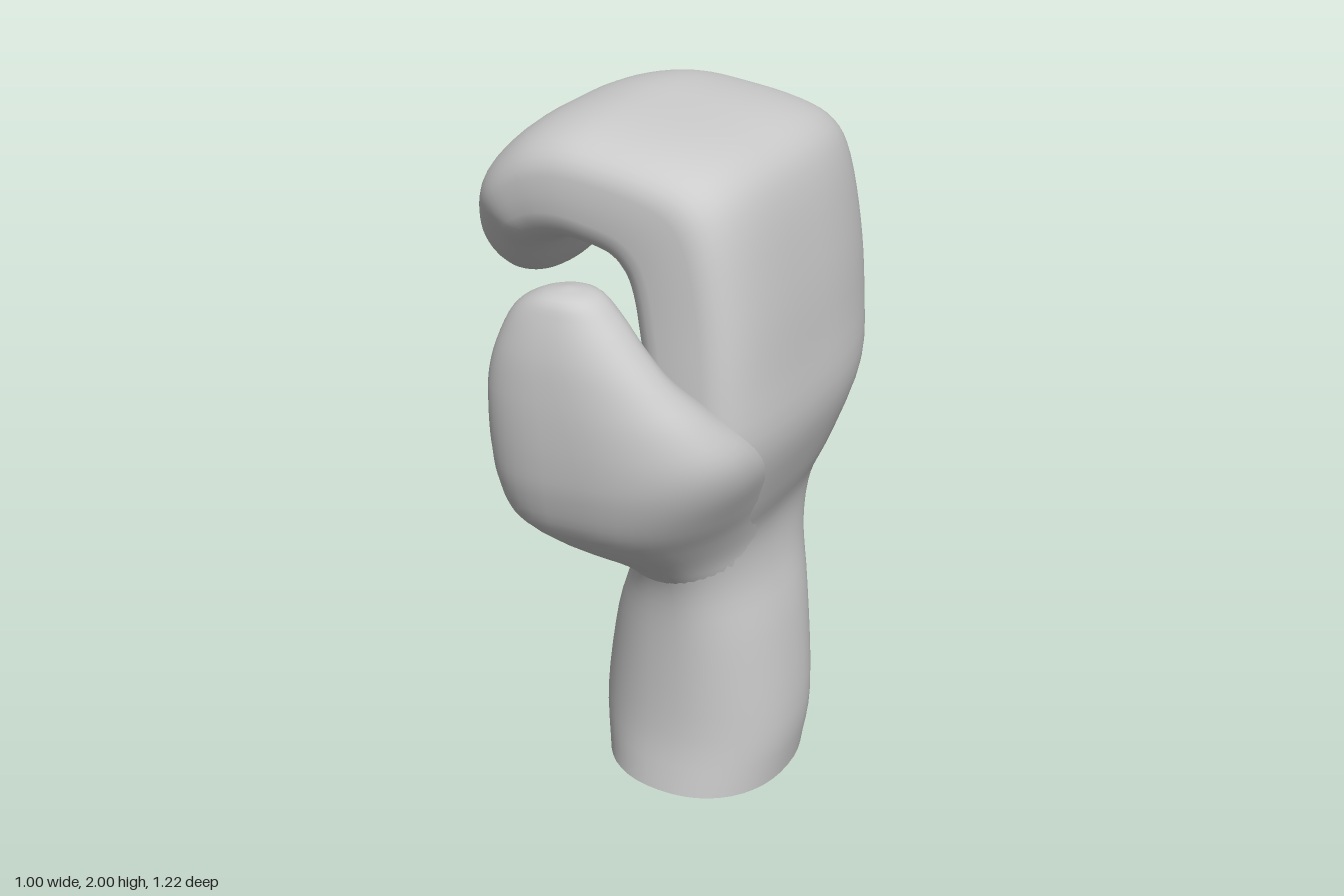
import * as THREE from 'three';
import { mergeVertices } from 'three/addons/utils/BufferGeometryUtils.js';

const material = new THREE.MeshStandardMaterial({ color: 0xcccccc });

// Smooth skin through rounded sections. Each row is
// [outer x, outer y, inner x, inner y, z min, z max, squareness].
// limits caps the squareness of the corners:
// [outer front, outer back, inner front, inner back].
function loft(name, rows, limits, steps = 4, sides = 48) {
  const spline = (f) => new THREE.CatmullRomCurve3(rows.map(f), false, 'catmullrom', 0.5);
  const outer = spline((r) => new THREE.Vector3(r[0], r[1], r[5]));
  const inner = spline((r) => new THREE.Vector3(r[2], r[3], r[4]));
  const count = (rows.length - 1) * steps;
  const position = [], index = [];
  for (let i = 0; i <= count; i++) {
    const t = i / count, k = Math.min(Math.floor(i / steps), rows.length - 2);
    const square = THREE.MathUtils.lerp(rows[k][6], rows[k + 1][6], i / steps - k);
    const a = outer.getPoint(t), b = inner.getPoint(t);
    const mid = a.clone().add(b).multiplyScalar(0.5), half = a.clone().sub(b).multiplyScalar(0.5);
    for (let j = 0; j < sides; j++) {
      const angle = (j / sides) * Math.PI * 2;
      const c = Math.cos(angle), s = Math.sin(angle);
      const n = Math.min(square, limits[(c < 0 ? 2 : 0) + (s < 0 ? 1 : 0)]);
      const u = Math.sign(c) * Math.abs(c) ** (2 / n), v = Math.sign(s) * Math.abs(s) ** (2 / n);
      position.push(mid.x + half.x * u, mid.y + half.y * u, mid.z + half.z * v);
      if (i < count) {
        const p = i * sides + j, q = i * sides + (j + 1) % sides;
        index.push(p, p + sides, q, q, p + sides, q + sides);
      }
    }
  }
  let geometry = new THREE.BufferGeometry();
  geometry.setAttribute('position', new THREE.Float32BufferAttribute(position, 3));
  geometry.setIndex(index);
  geometry = mergeVertices(geometry, 1e-5);
  geometry.computeVertexNormals();
  const mesh = new THREE.Mesh(geometry, material);
  mesh.name = name;
  return mesh;
}

export function createModel() {
  const model = new THREE.Group();
  model.name = 'mittenHand';
  const wrist = [0.445, 0, -0.11, 0, -0.36, 0.24, 2.2];
  const palmLimits = [4, 2.2, 4, 4];

  // Wrist, palm and the joined fingers curling over to their tip
  model.add(loft('palmAndFingers', [
    wrist,
    [0.465, 0.2, -0.13, 0.2, -0.37, 0.22, 2.2],
    [0.43, 0.5, -0.08, 0.5, -0.4, 0.235, 2.3],
    [0.385, 0.7, -0.01, 0.7, -0.44, 0.265, 2.4],
    [0.385, 0.85, 0.01, 0.85, -0.5, 0.33, 2.5],
    [0.44, 1.0, 0.06, 0.98, -0.54, 0.355, 2.8],
    [0.495, 1.2, 0.11, 1.18, -0.585, 0.37, 3.2],
    [0.48, 1.4, 0.12, 1.35, -0.605, 0.365, 3.6],
    [0.455, 1.6, 0.1, 1.5, -0.61, 0.355, 3.8],
    [0.41, 1.81, 0.08, 1.58, -0.605, 0.35, 3.8],
    [0.35, 1.91, 0.055, 1.625, -0.603, 0.348, 3.8],
    [0.24, 1.96, 0.02, 1.65, -0.595, 0.346, 3.6],
    [0.06, 1.99, -0.03, 1.66, -0.585, 0.343, 3.5],
    [-0.1, 2.0, -0.09, 1.66, -0.575, 0.338, 3.3],
    [-0.25, 1.96, -0.15, 1.64, -0.555, 0.325, 3],
    [-0.38, 1.86, -0.2, 1.61, -0.515, 0.3, 2.7],
    [-0.46, 1.75, -0.23, 1.57, -0.46, 0.24, 2.5],
    [-0.5, 1.62, -0.27, 1.51, -0.38, 0.16, 2.3],
    [-0.475, 1.515, -0.32, 1.46, -0.29, 0.06, 2.2],
    [-0.4, 1.45, -0.4, 1.45, -0.11, -0.11, 2],
  ], palmLimits));

  // Flat end of the wrist
  model.add(loft('wristEnd', [[0.17, 0, 0.17, 0, -0.06, -0.06, 2.2], wrist], palmLimits, 1));

  // Thumb and heel of the palm, clear of the fingers at its tip
  model.add(loft('thumb', [
    [0.33, 0.6, 0.07, 0.6, -0.3, 0.18, 2],
    [0.37, 0.72, 0.01, 0.72, -0.36, 0.26, 2.2],
    [0.375, 0.82, -0.02, 0.8, -0.36, 0.345, 2.4],
    [0.4, 0.93, -0.15, 0.89, -0.3, 0.47, 2.8],
    [0.435, 1.03, -0.205, 0.98, -0.19, 0.55, 3.4],
    [0.475, 1.15, -0.215, 1.09, -0.03, 0.59, 3.4],
    [0.47, 1.25, -0.21, 1.19, 0.12, 0.605, 3.2],
    [0.41, 1.35, -0.195, 1.3, 0.26, 0.61, 3],
    [0.33, 1.44, -0.18, 1.4, 0.345, 0.608, 2.7],
    [0.26, 1.52, -0.15, 1.5, 0.375, 0.6, 2.6],
    [0.19, 1.6, -0.1, 1.6, 0.39, 0.58, 2.4],
    [0.13, 1.655, -0.03, 1.65, 0.42, 0.555, 2.2],
    [0.05, 1.67, 0.05, 1.67, 0.49, 0.49, 2],
  ], [2.3, 2.1, 4, 1.8]));
  return model;
}
